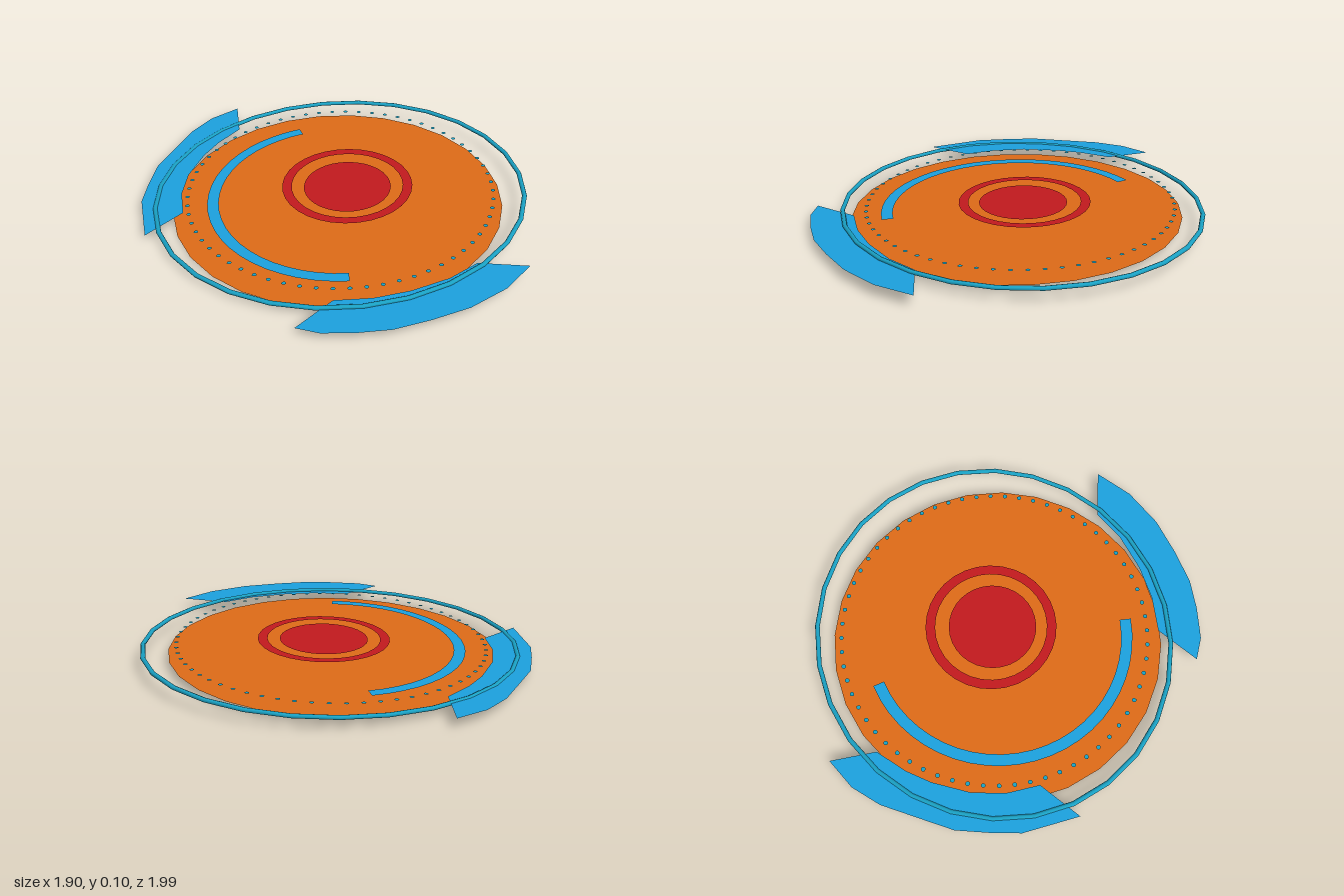
import * as THREE from 'three';

const material = (color) => new THREE.MeshStandardMaterial({ color, side: THREE.DoubleSide });

export function createModel() {
  const model = new THREE.Group();
  model.rotation.z = 0.0245; // the whole stack of layers leans slightly

  const orange = material(0xe06c18);
  const red = material(0xc41a1e);
  const blue = material(0x1ca2e0);
  const teal = material(0x1aa3c6);

  // lays a flat geometry (drawn in x, -z) on the level y
  function addFlat(name, geometry, mat, x, y, z) {
    geometry.rotateX(-Math.PI / 2);
    const mesh = new THREE.Mesh(geometry, mat);
    mesh.name = name;
    mesh.position.set(x, y, z);
    model.add(mesh);
    return mesh;
  }
  const plate = (points) =>
    new THREE.ShapeGeometry(new THREE.Shape(points.map(([x, z]) => new THREE.Vector2(x, -z))));

  // base and centre
  addFlat('baseDisc', new THREE.CircleGeometry(0.81, 28), orange, 0, 0.02, -0.02);
  addFlat('centreDisc', new THREE.CircleGeometry(0.215, 32), red, 0.055, 0.083, -0.025);
  addFlat('centreRing', new THREE.RingGeometry(0.275, 0.322, 32), red, 0.057, 0.088, -0.032);

  // open arc band around the centre
  addFlat('innerArc', new THREE.RingGeometry(0.608, 0.664, 24, 1, Math.PI / 2, 2.84), blue, 0.02, 0.05, -0.01);

  // slightly oval outer hoop
  const hoop = addFlat('outerHoop', new THREE.TorusGeometry(0.913, 0.012, 8, 28), teal, 0.02, 0.057, -0.033);
  hoop.scale.set(1, 0.85, 0.945);

  // circle of small dots
  const dots = 64;
  for (let i = 0; i < dots; i++) {
    const a = (i / dots) * Math.PI * 2;
    addFlat('dot', new THREE.CircleGeometry(0.011, 8), teal,
      0.018 + 0.752 * Math.cos(a), 0.069, -0.03 + 0.752 * Math.sin(a));
  }

  // curved outer plates with pointed ends
  addFlat('sidePlate', plate([
    [-0.24, -1], [-0.4, -0.95], [-0.53, -0.86], [-0.66, -0.72], [-0.78, -0.59], [-0.86, -0.44],
    [-0.92, -0.31], [-0.94, -0.17], [-0.96, -0.03], [-0.75, -0.14], [-0.72, -0.3], [-0.65, -0.45],
    [-0.53, -0.6], [-0.43, -0.69], [-0.29, -0.78],
  ]), blue, 0, 0.06, 0);
  addFlat('frontPlate', plate([
    [-0.5, 0.825], [-0.41, 0.895], [-0.26, 0.95], [-0.12, 0.985], [0.05, 0.99], [0.24, 0.98],
    [0.44, 0.925], [0.61, 0.825], [0.4, 0.72], [0.24, 0.77], [0.05, 0.785], [-0.12, 0.77], [-0.29, 0.72],
  ]), blue, 0, 0.053, 0);

  const root = new THREE.Group();
  root.name = 'layeredDisc';
  root.add(model);
  return root;
}
